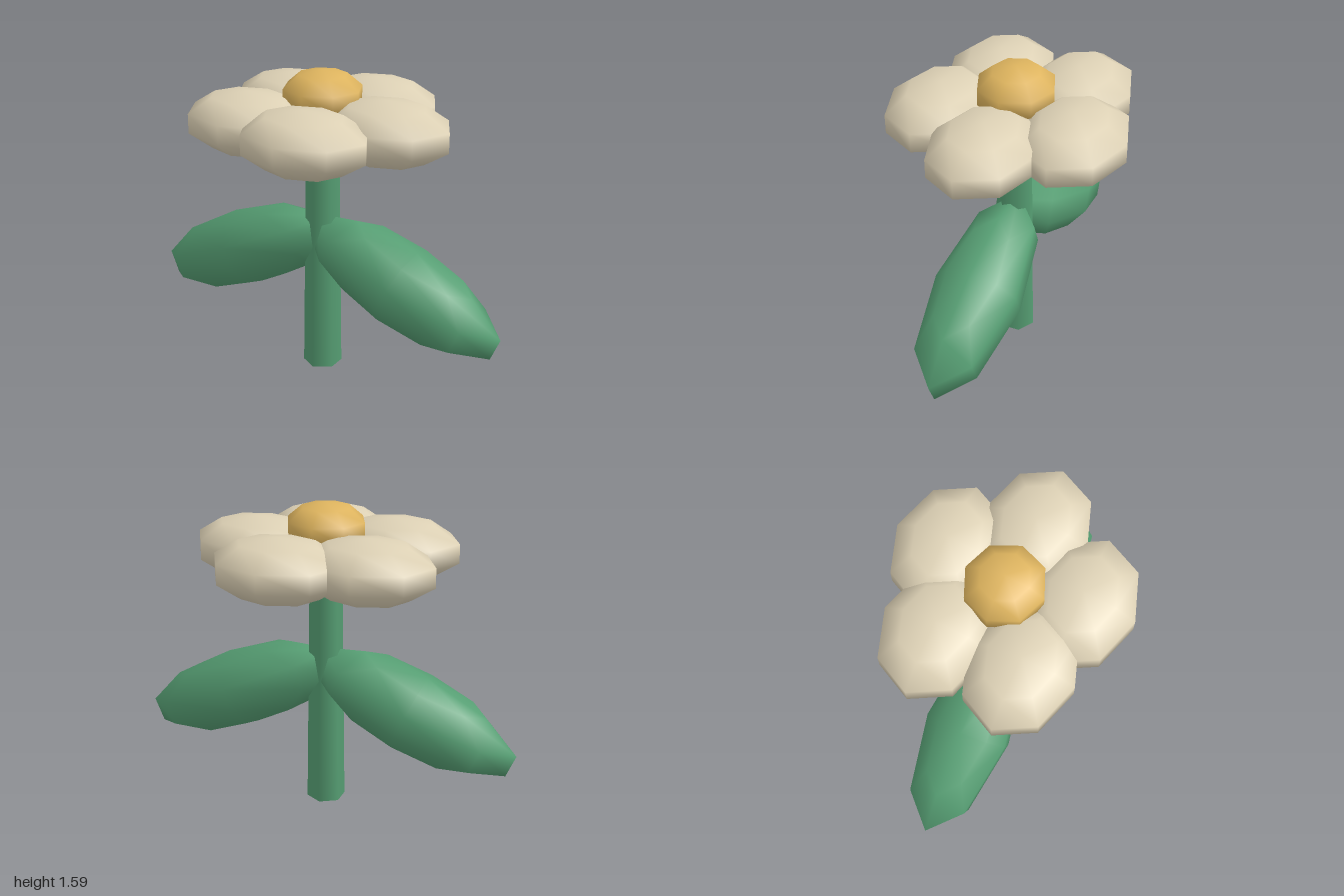
import * as THREE from 'three';

export function createModel() {
  const model = new THREE.Group();
  model.name = 'flower';

  const material = (name, color) => {
    const m = new THREE.MeshStandardMaterial({ color });
    m.name = name;
    return m;
  };
  const green = material('leaf green', 0x569e73);
  const cream = material('petal cream', 0xddd1b5);
  const yellow = material('centre yellow', 0xdeb45e);

  // Every rounded part is a stretched low-poly ball with smooth normals
  const ball = new THREE.SphereGeometry(1, 8, 5);
  const addBall = (name, mat, position, size, tilt = 0) => {
    const mesh = new THREE.Mesh(ball, mat);
    mesh.name = name;
    mesh.position.set(...position);
    mesh.scale.set(...size);
    mesh.rotation.z = tilt;
    model.add(mesh);
  };

  // Six-sided tapered stem
  const height = 1.33;
  const stem = new THREE.Mesh(new THREE.CylinderGeometry(0.081, 0.099, height, 6), green);
  stem.name = 'stem';
  stem.position.y = height / 2;
  model.add(stem);

  // Pair of drooping leaves
  for (const [name, side] of [['leftLeaf', 1], ['rightLeaf', -1]]) {
    addBall(name, green, [side * 0.46, 0.552, 0], [0.588, 0.204, 0.226], -side * 0.4);
  }

  // Ring of five petals, all stretched along x
  for (let i = 0; i < 5; i++) {
    const a = (i / 5) * Math.PI * 2;
    addBall(`petal${i + 1}`, cream,
      [Math.cos(a) * 0.357, 1.327, Math.sin(a) * 0.357], [0.346, 0.157, 0.275]);
  }

  // Flower centre
  addBall('flowerCentre', yellow, [0, 1.455, 0], [0.21, 0.13, 0.205]);

  return model;
}
